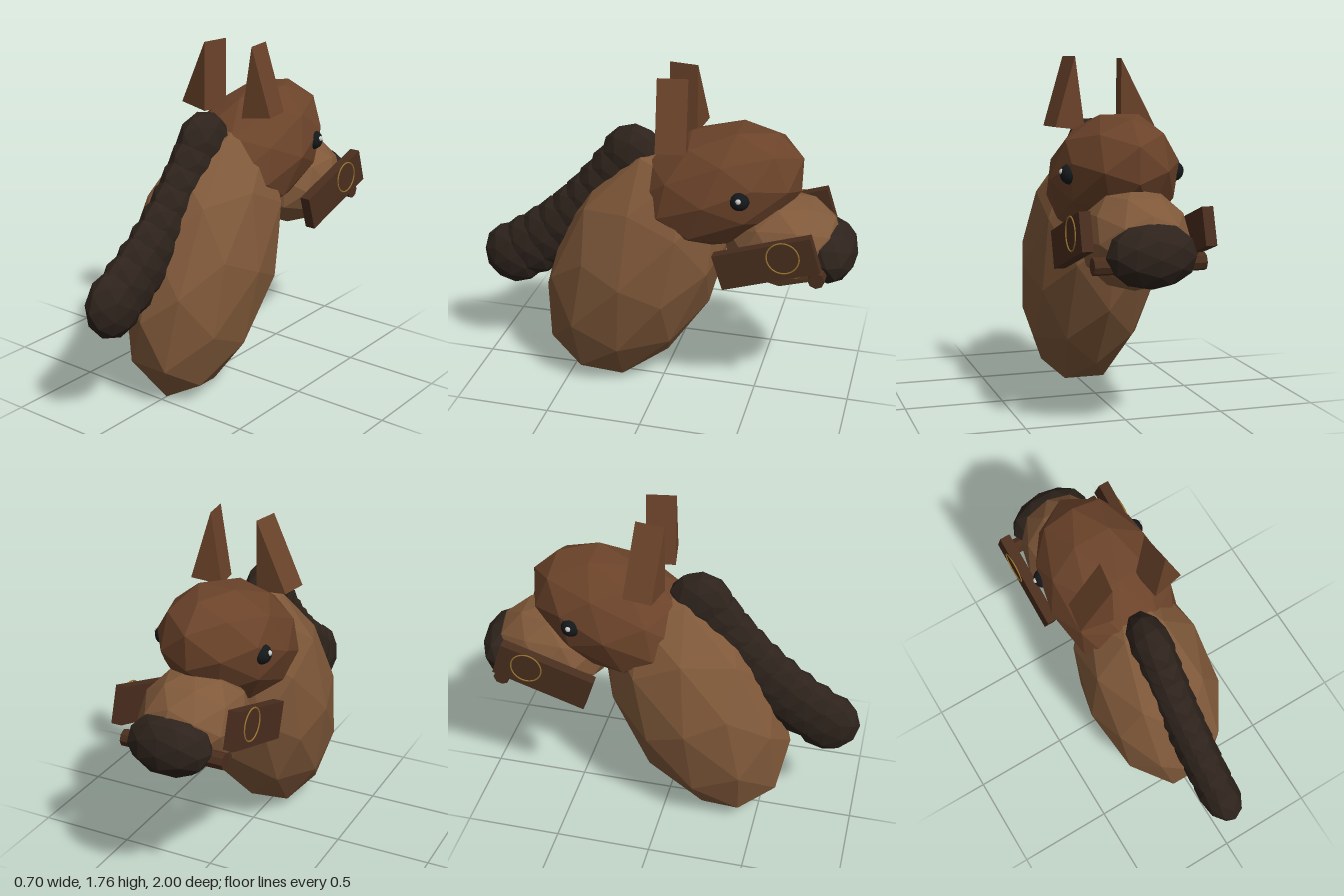
import * as THREE from 'three';

const paint = (color, flatShading = true) => new THREE.MeshStandardMaterial({ color, flatShading });
const coat = paint(0x80593a), darkCoat = paint(0x6b432a), hair = paint(0x2e231c);
const leather = paint(0x4a2e1e), brass = paint(0x9a7430, false);
const black = paint(0x15181a, false), white = paint(0xe8e8e8, false);

export function createModel() {
  const model = new THREE.Group();

  const add = (name, geometry, material, x, y, z, tilt = 0) => {
    const mesh = new THREE.Mesh(geometry, material);
    mesh.name = name;
    mesh.position.set(x, y, z);
    mesh.rotation.x = tilt;
    model.add(mesh);
    return mesh;
  };

  // Faceted ellipsoid used for all the soft masses
  const blob = (name, material, [x, y, z], radii, tilt = 0) =>
    add(name, new THREE.IcosahedronGeometry(1, 1).scale(...radii), material, x, y, z, tilt);

  // Neck, head and muzzle; the face points towards -z
  blob('neck', coat, [0, 0.67, 0.15], [0.35, 0.74, 0.435], -0.432);
  blob('head', darkCoat, [0, 1.16, -0.264], [0.315, 0.305, 0.48], 0.4);
  blob('muzzle', coat, [0, 0.908, -0.62], [0.26, 0.245, 0.31], 0.05);
  blob('nose', hair, [0, 0.868, -0.87], [0.22, 0.155, 0.13]);

  // Mane: overlapping tufts along a slightly sagging curve
  const maneLine = new THREE.QuadraticBezierCurve3(
    new THREE.Vector3(0, 1.265, 0.155),
    new THREE.Vector3(0, 0.875, 0.41),
    new THREE.Vector3(0, 0.64, 0.825));
  const tufts = 9;
  for (let i = 0; i < tufts; i++) {
    const p = maneLine.getPoint(i / (tufts - 1));
    blob('maneTuft', hair, p.toArray(), [0.105, 0.175, 0.175], -0.55);
  }

  // Ears: triangular wedges turned slightly, each with its own lean
  const ear = (name, baseLeft, baseRight, apex, yaw) => {
    const mid = (baseLeft[0] + baseRight[0]) / 2;
    const outline = [baseLeft, baseRight, apex].map(([x, y]) => new THREE.Vector2(x - mid, y));
    const geometry = new THREE.ExtrudeGeometry(new THREE.Shape(outline), { depth: 0.15, bevelEnabled: false });
    geometry.translate(0, 0, -0.075);
    add(name, geometry, darkCoat, mid, 0, -0.088).rotation.y = yaw;
  };
  ear('rightEar', [-0.27, 1.41], [-0.1, 1.39], [-0.1, 1.745], -0.15);
  ear('leftEar', [0.11, 1.39], [0.27, 1.41], [0.163, 1.755], 0.15);

  // Eyes and bridle fittings on both sides
  for (const side of [-1, 1]) {
    const s = side < 0 ? 'right' : 'left';
    add(s + 'Eye', new THREE.SphereGeometry(0.05, 16, 12), black, side * 0.26, 1.205, -0.44);
    add(s + 'EyeGlint', new THREE.SphereGeometry(0.015, 10, 8), white, side * 0.3, 1.217, -0.442);

    add(s + 'CheekStrap', new THREE.BoxGeometry(0.055, 0.185, 0.5), leather, side * 0.296, 0.908, -0.587, 0.315);
    const ring = new THREE.TorusGeometry(0.08, 0.004, 6, 32).rotateY(Math.PI / 2);
    add(s + 'BridleRing', ring, brass, side * 0.325, 0.954, -0.67);
  }

  // Bit through the mouth
  add('bit', new THREE.CylinderGeometry(0.042, 0.042, 0.54, 8).rotateZ(Math.PI / 2), leather, 0, 0.825, -0.83);

  return model;
}
